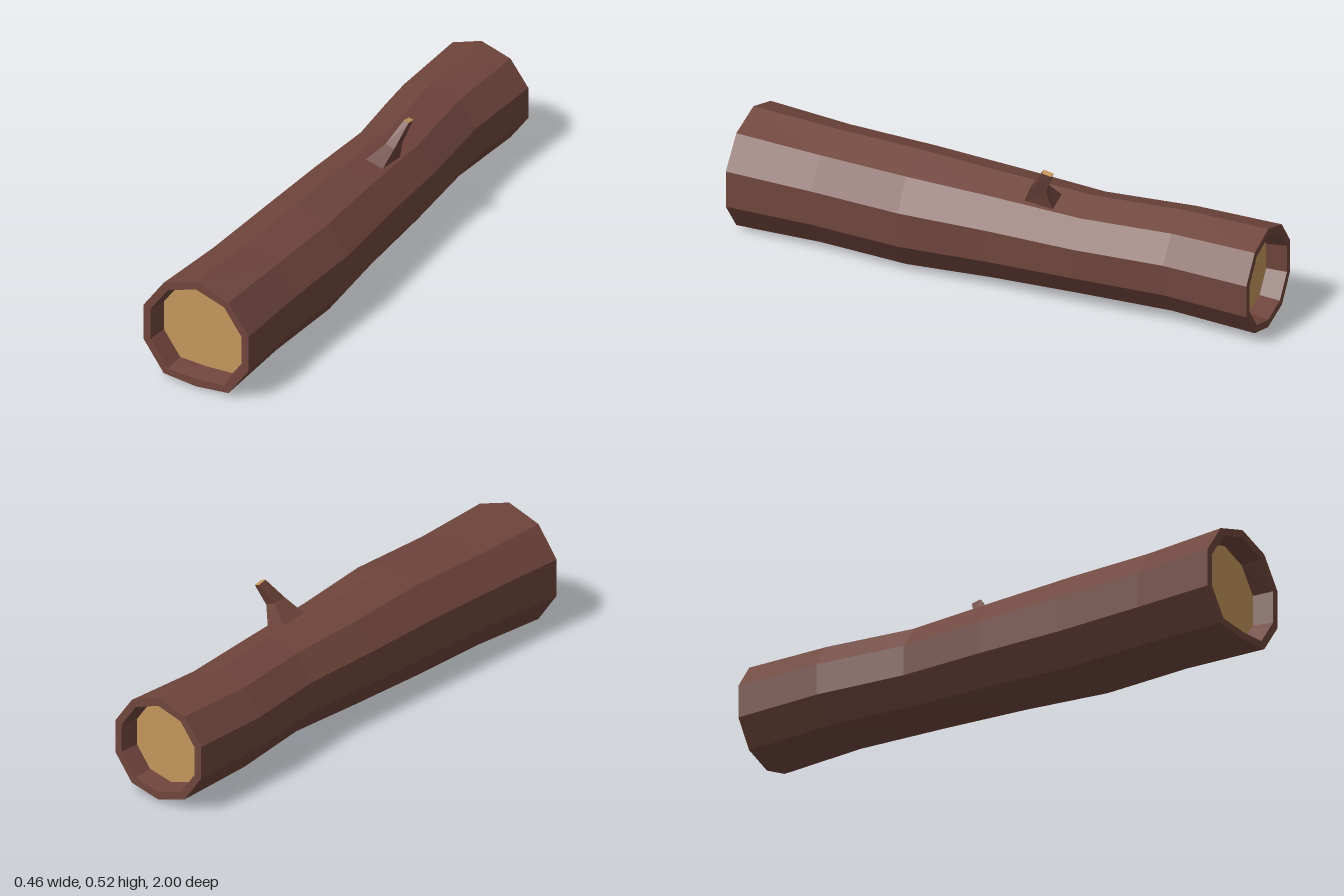
import * as THREE from 'three';

const SIDES = 10;

// Ring of a trunk cross-section: centre cx, radius r, top and bottom heights
function ring(z, cx, r, top, bottom, tilt = 0) {
  const cy = 0.202, pts = [];
  for (let i = 0; i < SIDES; i++) {
    const a = Math.PI / 2 + (i * 2 * Math.PI) / SIDES;
    const x = r * Math.cos(a), s = Math.sin(a);
    let y = cy + r * s;
    if (i === 0) y = top;
    if (i === SIDES / 2) y = bottom;
    pts.push(new THREE.Vector3(cx + x, y, z + tilt * (x - r * 0.95)));
  }
  return pts;
}

// Shrinks a ring towards its centre and moves it along z
function inset(pts, amount, dz) {
  const c = centre(pts);
  return pts.map((p) => {
    const d = p.clone().sub(c);
    return c.clone().addScaledVector(d, 1 - amount / d.length()).add(new THREE.Vector3(0, 0, dz));
  });
}

function centre(pts) {
  return pts.reduce((s, p) => s.add(p), new THREE.Vector3()).divideScalar(pts.length);
}

function build(name, points, material) {
  const g = new THREE.BufferGeometry().setFromPoints(points);
  g.computeVertexNormals();
  const mesh = new THREE.Mesh(g, material);
  mesh.name = name;
  return mesh;
}

// Flat-faced skin through successive rings
function loft(name, rings, material) {
  const out = [];
  for (let k = 0; k + 1 < rings.length; k++) {
    const p = rings[k], q = rings[k + 1];
    for (let i = 0; i < p.length; i++) {
      const j = (i + 1) % p.length;
      out.push(p[i], p[j], q[j], p[i], q[j], q[i]);
    }
  }
  return build(name, out, material);
}

function cap(name, pts, material, flip = false) {
  const c = centre(pts), out = [];
  pts.forEach((p, i) => {
    const n = pts[(i + 1) % pts.length];
    out.push(c, flip ? n : p, flip ? p : n);
  });
  return build(name, out, material);
}

export function createModel() {
  const bark = new THREE.MeshStandardMaterial({ color: 0x6f453c });
  bark.name = 'bark';
  const wood = new THREE.MeshStandardMaterial({ color: 0xc4965c });
  wood.name = 'cutWood';
  const group = new THREE.Group();
  group.name = 'log';

  // Gently bent trunk, back to front
  const trunk = [
    ring(-1, 0.022, 0.197, 0.4, 0.01),
    ring(-0.67, 0.005, 0.189, 0.394, 0.015),
    ring(-0.33, 0.03, 0.184, 0.39, 0.018),
    ring(0, 0.022, 0.198, 0.402, 0.008),
    ring(0.33, 0.024, 0.2145, 0.422, 0),
    ring(0.67, 0.0025, 0.213, 0.42, 0.003),
    ring(1, -0.015, 0.226, 0.428, 0.006, 0.045),
  ];
  // Rims and recessed cut faces at both ends
  const backLip = inset(trunk[0], 0.029, 0);
  const backCut = inset(trunk[0], 0.04, 0.075);
  const frontLip = inset(trunk[6], 0.03, 0);
  const frontCut = inset(trunk[6], 0.043, -0.075);
  group.add(loft('trunk', [backCut, backLip, ...trunk, frontLip, frontCut], bark));
  group.add(cap('frontCut', frontCut, wood));
  group.add(cap('backCut', backCut, wood, true));

  // Bent, tapering twig
  const V = (x, y, z) => new THREE.Vector3(x, y, z);
  const twig = [
    [V(0.118, 0.355, -0.105), V(0.128, 0.355, -0.222), V(0.055, 0.38, -0.225), V(0.05, 0.38, -0.1)],
    [V(0.148, 0.435, -0.145), V(0.148, 0.432, -0.205), V(0.115, 0.445, -0.2), V(0.115, 0.447, -0.143)],
    [V(0.174, 0.518, -0.2), V(0.174, 0.512, -0.237), V(0.155, 0.517, -0.237), V(0.155, 0.524, -0.2)],
  ];
  group.add(loft('twig', twig, bark));
  group.add(cap('twigCut', twig[2], wood));
  return group;
}
